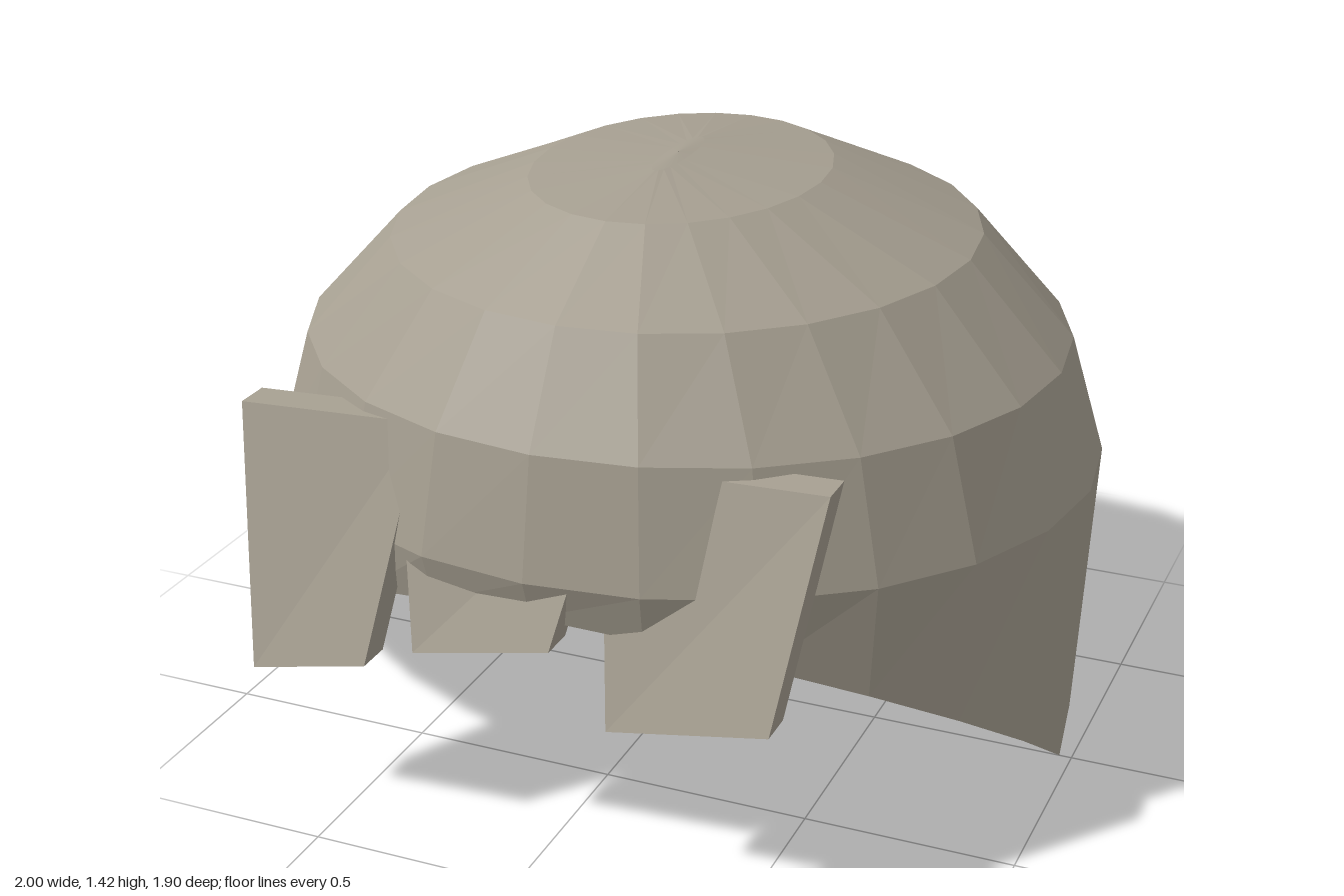
import * as THREE from 'three';

const SIDES = 24;

// Rings of the shell above the rim: height, half width, front z, back z
const RINGS = [
  [0.71, 1.0, 0.92, -0.95],
  [0.99, 0.915, 0.87, -0.88],
  [1.23, 0.69, 0.73, -0.72],
  [1.38, 0.34, 0.47, -0.4],
  [1.415, 0.03, 0.2, -0.08],
  [1.42, 0.001, 0.061, 0.059],
];

function shellGeometry() {
  const ring = (y, rx, zf, zb) => (t) => {
    const c = Math.cos(t);
    return [Math.sin(t) * rx, y, c > 0 ? c * zf : -c * zb];
  };
  // Upper rings taper off centre, so they are stretched about their own middle
  const capRing = (y, rx, zf, zb) => (t) =>
    [Math.sin(t) * rx, y, (zf + zb) / 2 + Math.cos(t) * (zf - zb) / 2];
  // Rim: slopes up steeply to the face opening, nearly level at the back
  const rim = (t) => {
    const [x, , z] = ring(0, 0.97, 0.885, -0.84)(t);
    return [x, z > 0 ? z * 0.69 : Math.min(0.04, -z * 0.07), z];
  };
  const rows = [rim, ...RINGS.map((r, i) => (i < 3 ? ring(...r) : capRing(...r)))];

  const pos = [];
  for (let i = 0; i < rows.length - 1; i++) {
    for (let j = 0; j < SIDES; j++) {
      const t0 = (j / SIDES) * Math.PI * 2;
      const t1 = ((j + 1) / SIDES) * Math.PI * 2;
      const a = rows[i](t0), b = rows[i](t1);
      const c = rows[i + 1](t1), d = rows[i + 1](t0);
      pos.push(...a, ...b, ...c, ...a, ...c, ...d);
    }
  }
  const geo = new THREE.BufferGeometry();
  geo.setAttribute('position', new THREE.Float32BufferAttribute(pos, 3));
  geo.computeVertexNormals();
  return geo;
}

// Leaning slab: a box whose corners move to four front points, with depth behind
function slabGeometry([bl, br, tl, tr], depth) {
  const geo = new THREE.BoxGeometry(1, 1, 1).toNonIndexed();
  const p = geo.attributes.position;
  for (let i = 0; i < p.count; i++) {
    const right = p.getX(i) > 0;
    const corner = p.getY(i) > 0 ? (right ? tr : tl) : (right ? br : bl);
    p.setXYZ(i, corner[0], corner[1], corner[2] - (p.getZ(i) > 0 ? 0 : depth));
  }
  geo.computeVertexNormals();
  return geo;
}

export function createModel() {
  const group = new THREE.Group();
  const stone = new THREE.MeshStandardMaterial({ color: 0xa69f91 });
  stone.name = 'warm grey';
  stone.flatShading = true;
  stone.side = THREE.DoubleSide;

  const add = (name, geo) => {
    const mesh = new THREE.Mesh(geo, stone);
    mesh.name = name;
    group.add(mesh);
  };

  add('domeShell', shellGeometry());

  // Three locks hanging over the brow: bottom left, bottom right, top left, top right
  const locks = {
    rightLock: [[-0.69, 0.36, 0.92], [-0.385, 0.44, 0.945], [-0.77, 0.945, 0.765], [-0.3, 0.98, 0.79]],
    middleLock: [[-0.275, 0.485, 0.92], [0.07, 0.57, 0.945], [-0.35, 0.9, 0.8], [0.15, 0.95, 0.82]],
    leftLock: [[0.19, 0.39, 0.92], [0.575, 0.475, 0.947], [0.12, 0.945, 0.765], [0.645, 0.977, 0.795]],
  };
  for (const [name, corners] of Object.entries(locks)) add(name, slabGeometry(corners, 0.085));

  return group;
}
